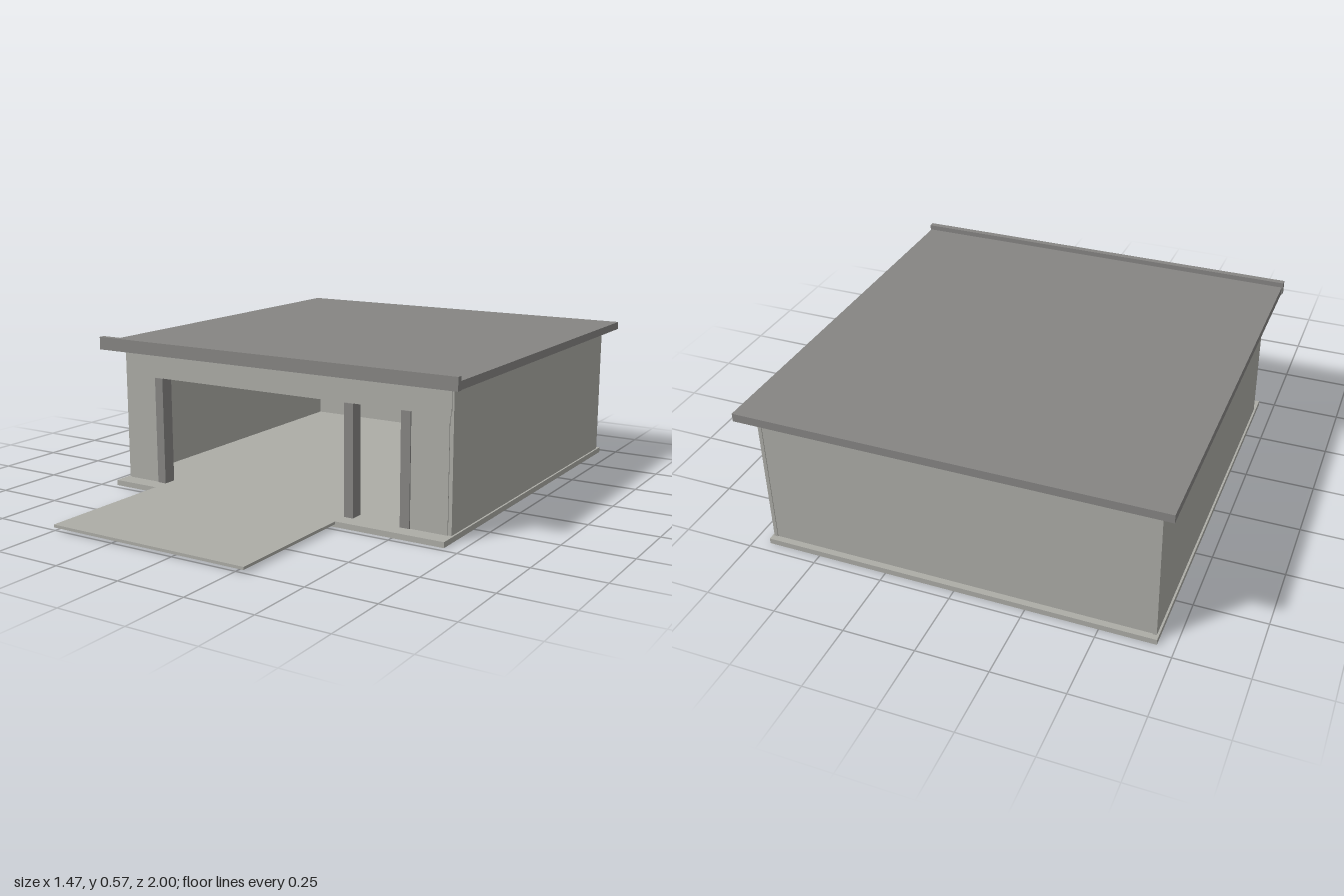
import * as THREE from 'three';

export function createModel() {
  const model = new THREE.Group();
  model.name = 'garage';
  const concrete = new THREE.MeshStandardMaterial({ color: 0xacaca6 });
  concrete.name = 'pale concrete';
  const trim = new THREE.MeshStandardMaterial({ color: 0x868583 });
  trim.name = 'dark grey trim';

  // Box given by its limits along each axis
  function block(name, material, [x0, x1], [y0, y1], [z0, z1]) {
    const mesh = new THREE.Mesh(new THREE.BoxGeometry(x1 - x0, y1 - y0, z1 - z0), material);
    mesh.position.set((x0 + x1) / 2, (y0 + y1) / 2, (z0 + z1) / 2);
    mesh.name = name;
    model.add(mesh);
  }

  const floor = 0.02, lintel = 0.42, eaves = 0.52;

  // Ground: floor slab and driveway
  block('floorSlab', concrete, [-0.692, 0.692], [0, floor], [-0.963, 0.476]);
  block('driveway', concrete, [-0.505, 0.28], [0.01, floor], [0.476, 1]);

  // Side and back walls
  block('rightWall', concrete, [-0.685, -0.672], [floor, eaves], [-0.943, 0.408]);
  block('leftWall', concrete, [0.672, 0.685], [floor, eaves], [-0.943, 0.408]);
  block('backWall', concrete, [-0.672, 0.672], [floor, eaves], [-0.94, -0.925]);

  // Front wall around the vehicle opening and the side door opening
  block('frontWallRight', concrete, [-0.672, -0.54], [floor, lintel], [0.372, 0.412]);
  block('frontWallLeft', concrete, [0.533, 0.672], [floor, lintel], [0.372, 0.412]);
  block('frontHeader', concrete, [-0.678, 0.678], [lintel, eaves], [0.372, 0.412]);

  // Posts framing the openings
  for (const [x0, x1] of [[-0.54, -0.505], [0.28, 0.315], [0.497, 0.533]]) {
    block('doorPost', trim, [x0, x1], [floor, lintel], [0.367, 0.417]);
  }

  // Roof with raised front fascia
  block('roof', trim, [-0.733, 0.733], [eaves, 0.549], [-1, 0.468]);
  block('fascia', trim, [-0.737, 0.737], [eaves, 0.567], [0.468, 0.49]);

  return model;
}
